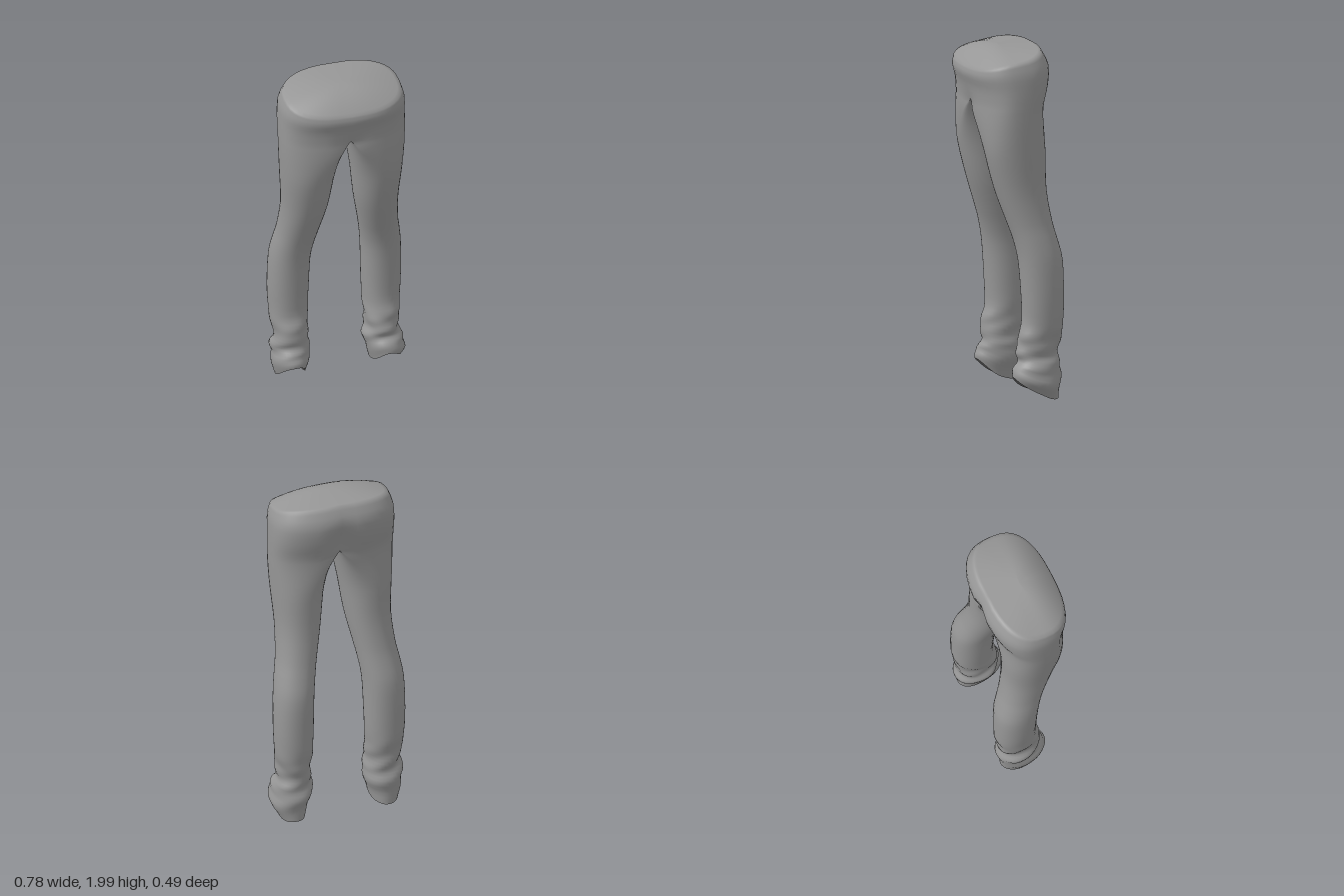
import * as THREE from 'three';
import { mergeVertices, toCreasedNormals } from 'three/addons/utils/BufferGeometryUtils.js';

const SEG = 40, SUB = 3;

// Rings of one trouser half, hem to waist: y, front tilt, inner x, outer x, back z, front z
const ROWS = [
  [0.075, 0.065, 0.195, 0.357, -0.212, 0.055],
  [0.125, 0.045, 0.18, 0.375, -0.215, 0.055],
  [0.18, 0.025, 0.16, 0.378, -0.23, 0.035],
  [0.225, 0.012, 0.16, 0.372, -0.218, 0.018],
  [0.27, 0.01, 0.168, 0.36, -0.215, 0.022],
  [0.33, 0.005, 0.17, 0.362, -0.225, 0.018],
  [0.38, 0, 0.166, 0.372, -0.232, 0.012],
  [0.45, 0, 0.162, 0.378, -0.242, -0.008],
  [0.6, 0, 0.157, 0.385, -0.245, -0.004],
  [0.8, 0, 0.15, 0.38, -0.24, 0.012],
  [0.92, 0, 0.134, 0.364, -0.214, 0.036],
  [1.02, 0, 0.115, 0.347, -0.19, 0.068],
  [1.2, 0, 0.08, 0.336, -0.164, 0.13],
  [1.4, 0, 0.055, 0.348, -0.16, 0.182],
  [1.56, 0, 0.03, 0.357, -0.16, 0.206],
  [1.65, 0, 0.012, 0.36, -0.166, 0.214],
  [1.7, 0, 0, 0.361, -0.177, 0.217],
  [1.79, -0.008, 0, 0.361, -0.202, 0.226],
  [1.88, -0.03, 0, 0.356, -0.209, 0.246],
  [1.945, -0.055, 0, 0.335, -0.165, 0.24],
];

// Smooth in-between rings
function denseRows() {
  const out = [], last = ROWS.length - 1;
  for (let i = 0; i < last; i++) {
    const a = ROWS[Math.max(i - 1, 0)], b = ROWS[i], c = ROWS[i + 1], d = ROWS[Math.min(i + 2, last)];
    for (let s = 0; s < SUB; s++) {
      const t = s / SUB;
      out.push(b.map((p, k) => p + 0.5 * t * (c[k] - a[k]
        + t * (2 * a[k] - 5 * p + 4 * c[k] - d[k] + t * (3 * (p - c[k]) + d[k] - a[k])))));
    }
  }
  out.push(ROWS[last]);
  // Closure at the waist, level at the back and rounding down to the front
  const [, tilt, , xo, zb, zf] = ROWS[last], zc = (zb + zf) / 2;
  for (const k of [0.93, 0.84, 0.72, 0.58, 0.42, 0.22, 0.001]) {
    out.push([2 + tilt * k * k, tilt * k * k, 0, xo * k, zc + (zb - zc) * k, zc + (zf - zc) * k]);
  }
  return out;
}

const power = (v, e) => Math.sign(v) * Math.pow(Math.abs(v), e);
const bump = (v, mid, width) => Math.exp(-(((v - mid) / width) ** 2));

// One point of a ring: a rounded leg section that opens into a half pelvis above the crotch
function ringPoint(row, angle, side, inset) {
  const [y0, tilt, xiRaw, xo, zb, zf] = row;
  const xi = Math.max(0, xiRaw);
  const open = THREE.MathUtils.clamp((y0 - 1.4) / 0.3, 0, 1);
  const cx = (xi + xo) / 2 * (1 - open ** 1.7);
  const e = THREE.MathUtils.lerp(0.92, 0.76, open);
  const cos = Math.cos(angle), sin = Math.sin(angle);
  const c = Math.abs(cos) < 1e-6 ? 0 : power(cos, e);
  const s = power(sin, e);
  let x = cx + c * (c > 0 ? xo - cx : cx - xi);
  let z = (zf + zb) / 2 + s * (zf - zb) / 2;
  // The hem sweeps up in a curve towards the front
  let y = y0 + tilt * sin - 0.5 * Math.max(tilt, 0) * cos * cos;
  // Bunched cloth folds at the ankle
  const fold = 0.006 * bump(y0, 0.23, 0.1) * Math.sin(y0 * 62 + 2 * angle * side + side)
    + 0.004 * bump(y0, 0.3, 0.14) * Math.sin(y0 * 40 - 3 * angle + 2 * side);
  x += (fold - inset) * cos;
  z += (fold - inset) * sin;
  // The two sides differ a little: left hem flares, right side is fuller
  if (side > 0 && cos > 0) x += 0.016 * bump(y0, 0.125, 0.035) * cos;
  if (y0 > 0.2) x *= side > 0 ? 0.985 : 1.018;
  y += 0.006 * bump(y0, 0.07, 0.05) * Math.sin(3 * angle + side) * cos;
  // Seat cleft and front crotch crease
  if (s < 0) z -= 0.034 * bump(x, 0, 0.045) * bump(y0, 1.77, 0.1) * s;
  else z -= 0.016 * bump(x, 0, 0.05) * bump(y0, 1.69, 0.05) * s;
  if (x < 1e-5) x = 0;
  return [x * side, Math.max(0, y), z];
}

function clothGeometry(rows, inset) {
  const pos = [], index = [];
  for (const side of [1, -1]) {
    const base = pos.length / 3;
    for (const row of rows) {
      for (let i = 0; i < SEG; i++) pos.push(...ringPoint(row, i / SEG * Math.PI * 2, side, inset));
    }
    for (let j = 0; j < rows.length - 1; j++) {
      for (let i = 0; i < SEG; i++) {
        const a = base + j * SEG + i, b = base + j * SEG + (i + 1) % SEG;
        const c = a + SEG, d = b + SEG;
        // Leave out the wall between the two halves
        if ([a, b, c, d].every((v) => pos[v * 3] === 0)) continue;
        if (side > 0) index.push(a, c, b, b, c, d);
        else index.push(a, b, c, b, d, c);
      }
    }
  }
  const geo = new THREE.BufferGeometry();
  geo.setAttribute('position', new THREE.Float32BufferAttribute(pos, 3));
  geo.setIndex(index);
  return toCreasedNormals(mergeVertices(geo, 1e-5), 1.1);
}

export function createModel() {
  const group = new THREE.Group();
  group.name = 'trousers';
  const rows = denseRows();
  const add = (name, geometry, color) => {
    const mesh = new THREE.Mesh(geometry, new THREE.MeshStandardMaterial({ color, side: THREE.DoubleSide }));
    mesh.name = name;
    group.add(mesh);
  };
  add('legsAndWaist', clothGeometry(rows, 0), 0x979797);
  // Shaded inside of the lower legs, seen through the open hems
  add('hemLining', clothGeometry(rows.slice(0, 11 * SUB), 0.004), 0x505050);
  return group;
}
